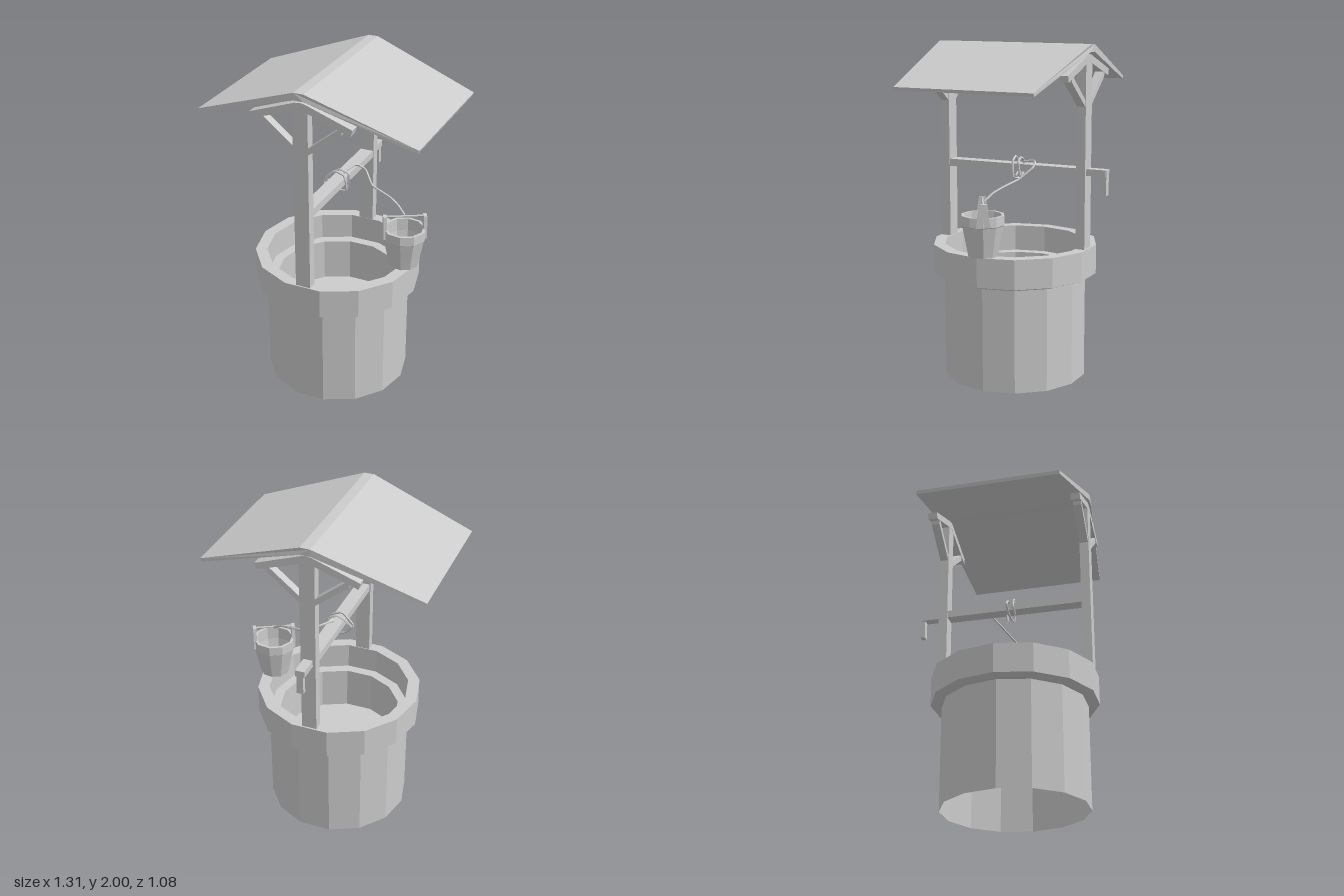
import * as THREE from 'three';

const material = new THREE.MeshStandardMaterial({ color: 0xcccccc, flatShading: true, side: THREE.DoubleSide });
const CZ = 0.05; // depth of the well's axis
const V = (x, y, z) => new THREE.Vector3(x, y, z);

function add(group, name, geometry, x = 0, y = 0, z = 0) {
  const mesh = new THREE.Mesh(geometry, material);
  mesh.name = name;
  mesh.position.set(x, y, z);
  group.add(mesh);
  return mesh;
}

// Faceted ring from [radius, height] pairs
function lathe(profile, sides) {
  const points = profile.map(([r, y]) => new THREE.Vector2(r, y));
  return new THREE.LatheGeometry(points, sides, Math.PI / sides);
}

// Flat outline in x,y given a depth, centred on z = 0
function slab(outline, depth) {
  const shape = new THREE.Shape(outline.map(([x, y]) => new THREE.Vector2(x, y)));
  return new THREE.ExtrudeGeometry(shape, { depth, bevelEnabled: false }).translate(0, 0, -depth / 2);
}

// Rope following straight runs between points
function rope(points, radius = 0.007) {
  const path = new THREE.CatmullRomCurve3(points, false, 'catmullrom', 0.15);
  return new THREE.TubeGeometry(path, points.length * 3, radius, 5);
}

function buildRoof(group) {
  const half = [[0.03, 2], [0.655, 1.777], [0.648, 1.758], [0.03, 1.957]];
  const mirrored = half.map(([x, y]) => [-x, y]).reverse();
  const geometry = slab([...half, ...mirrored], 1);
  // Gable ends draw in towards the eaves
  const p = geometry.attributes.position;
  for (let i = 0; i < p.count; i++) {
    const reach = 0.4925 - 0.065 * (Math.abs(p.getX(i)) / 0.655);
    p.setZ(i, Math.sign(p.getZ(i)) * reach);
  }
  geometry.computeVertexNormals();
  add(group, 'roof', geometry, 0, 0, 0.0475);
}

function buildFrame(group) {
  for (const [side, z] of [['front', 0.497], ['back', -0.394]]) {
    const frame = new THREE.Group();
    frame.name = side + 'Frame';
    frame.position.z = z;
    add(frame, 'post', new THREE.BoxGeometry(0.09, 1.11, 0.056), 0, 1.368, 0);
    for (const s of [-1, 1]) {
      const flip = (pts) => pts.map(([x, y]) => [s * x, y]);
      add(frame, 'rafter', slab(flip([[0, 1.945], [0.03, 1.94], [0.303, 1.843], [0.292, 1.805], [0, 1.905]]), 0.057));
      add(frame, 'brace', slab(flip([[0.04, 1.685], [0.225, 1.835], [0.242, 1.822], [0.238, 1.8], [0.04, 1.645]]), 0.05));
    }
    group.add(frame);
  }
}

function buildWinch(group) {
  add(group, 'axle', new THREE.BoxGeometry(0.08, 0.044, 0.84), 0, 1.27, CZ);
  add(group, 'crankShaft', new THREE.BoxGeometry(0.056, 0.04, 0.122), 0, 1.27, -0.481);
  add(group, 'crankHandle', new THREE.BoxGeometry(0.04, 0.15, 0.028), 0, 1.215, -0.529);

  // Loose turns round the axle, then a slack run to the bucket
  const turns = [];
  for (let i = 0; i <= 14; i++) {
    const a = -2.2 - (i / 14) * Math.PI * 3.6;
    const r = 0.068 + 0.012 * Math.sin(i * 2.3);
    turns.push(V(Math.cos(a) * r - 0.012, 1.26 + Math.sin(a) * r * 0.95, 0.065 - i * 0.005));
  }
  add(group, 'ropeTurns', rope(turns));
  add(group, 'rope', rope([
    turns[14], V(0.01, 1.3, -0.01), V(0.045, 1.32, -0.105), V(0.1, 1.29, -0.12), V(0.17, 1.225, -0.06),
    V(0.3, 1.195, -0.02), V(0.365, 1.17, 0.01), V(0.415, 1.132, 0.035),
  ]));
}

function buildBucket(group) {
  const bucket = new THREE.Group();
  bucket.name = 'bucket';
  bucket.position.set(0.422, 0, CZ - 0.005);
  bucket.rotation.y = 0.5;
  add(bucket, 'pail', lathe([
    [0, 0.817], [0.088, 0.817], [0.1, 0.88], [0.123, 0.995], [0.129, 1], [0.127, 1.055],
    [0.11, 1.055], [0.106, 0.98], [0.08, 0.84], [0, 0.84],
  ], 10));
  // Tapered ears and the bar between them
  for (const s of [-1, 1]) {
    const ear = slab([[-0.042, 1], [0.042, 1], [0.02, 1.135], [-0.02, 1.135]], 0.02);
    ear.rotateY(Math.PI / 2);
    add(bucket, 'ear', ear, s * 0.117, 0, 0);
  }
  add(bucket, 'handleBar', new THREE.CylinderGeometry(0.006, 0.006, 0.235, 6).rotateZ(Math.PI / 2), 0, 1.13, 0);
  group.add(bucket);
}

export function createModel() {
  const group = new THREE.Group();
  group.name = 'well';

  // Stone shaft with an inner floor, and the wider rim on top
  add(group, 'shaft', lathe([[0.43, 0], [0.43, 0.655], [0.365, 0.655], [0.365, 0.39], [0, 0.39]], 14), -0.003, 0, CZ);
  add(group, 'rim', lathe([
    [0.425, 0.625], [0.455, 0.625], [0.495, 0.64], [0.495, 0.815], [0.425, 0.815], [0.425, 0.65],
  ], 14), -0.003, 0, CZ);

  buildFrame(group);
  buildRoof(group);
  buildWinch(group);
  buildBucket(group);
  return group;
}
